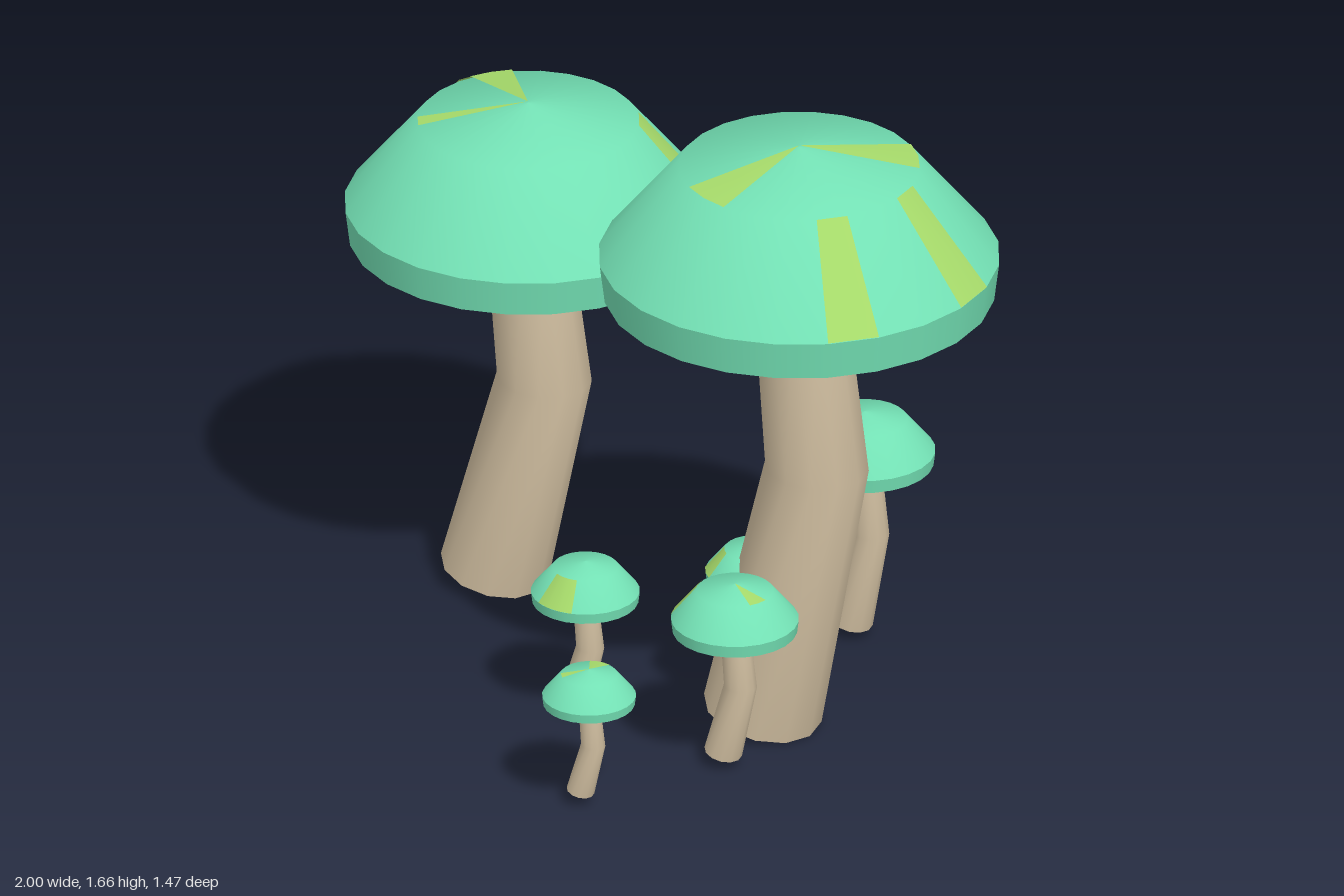
import * as THREE from 'three';
import { toCreasedNormals } from 'three/addons/utils/BufferGeometryUtils.js';

const material = (name, color, side = THREE.FrontSide) => {
  const m = new THREE.MeshStandardMaterial({ color, side });
  m.name = name;
  return m;
};

// x, z = cap centre, y = underside height, r = cap radius.
// Stripe angles are in degrees, from +x towards +z.
const MUSHROOMS = [
  { name: 'tallLeftMushroom', x: 0.49, y: 1.26, z: -0.035, r: 0.508, slope: [[-15, 0], [30, 45]], crown: [[-59, -33], [92, 119]] },
  { name: 'tallRightMushroom', x: -0.535, y: 1.015, z: -0.265, r: 0.465, slope: [[195, 210], [-45, -30]], crown: [[202, 225], [136, 146]] },
  { name: 'backMushroom', x: 0.305, y: 0.505, z: -0.56, r: 0.179, slope: [], crown: [] },
  { name: 'leftMushroom', x: 0.478, y: 0.4, z: 0.22, r: 0.162, slope: [[150, 180]], crown: [[0, 30]] },
  { name: 'innerMushroom', x: 0.35, y: 0.405, z: -0.03, r: 0.122, slope: [[120, 150]], crown: [] },
  { name: 'middleMushroom', x: 0, y: 0.335, z: 0.21, r: 0.138, slope: [[68, 112]], crown: [] },
  { name: 'frontMushroom', x: 0.31, y: 0.3, z: 0.61, r: 0.119, slope: [], crown: [[235, 280], [125, 145]] },
];

// Surface of revolution over an angular range, profile listed from low to high
function lathe(points, r, a0 = 0, a1 = 360) {
  const profile = points.map(([px, py]) => new THREE.Vector2(px * r, py * r));
  const segments = Math.max(1, Math.round((a1 - a0) / 15));
  return new THREE.LatheGeometry(profile, segments,
    THREE.MathUtils.degToRad(90 - a1), THREE.MathUtils.degToRad(a1 - a0));
}

// Bent stem: a cylinder whose three rings are moved, resized and tilted
function stemGeometry({ y, r }) {
  const rings = [
    { x: -0.225 * r, y: 0.045, radius: 0.3 * r, tilt: 0.24 },
    { x: 0.11 * r, y: 0.62 * y, radius: 0.26 * r, tilt: 0.06 },
    { x: 0, y: y + 0.02 * r, radius: 0.232 * r, tilt: 0 },
  ];
  const geo = new THREE.CylinderGeometry(1, 1, 2, 12, 2);
  const pos = geo.attributes.position;
  for (let i = 0; i < pos.count; i++) {
    const ring = rings[Math.round(pos.getY(i)) + 1];
    const px = pos.getX(i) * ring.radius;
    pos.setXYZ(i, ring.x + px * Math.cos(ring.tilt),
      ring.y - px * Math.sin(ring.tilt), pos.getZ(i) * ring.radius);
  }
  return toCreasedNormals(geo, 0.75);
}

export function createModel() {
  const capMat = material('capGreen', 0x73e0b4);
  const stripeMat = material('stripeLime', 0xa6da6a, THREE.DoubleSide);
  const stemMat = material('stemBeige', 0xd0bea0);
  const model = new THREE.Group();
  model.name = 'mushroomCluster';

  for (const m of MUSHROOMS) {
    const group = new THREE.Group();
    group.name = m.name;
    group.position.set(m.x, 0, m.z);
    const add = (name, geo, mat, y = 0) => {
      const mesh = new THREE.Mesh(geo, mat);
      mesh.name = name;
      mesh.position.y = y;
      group.add(mesh);
    };

    add('stem', stemGeometry(m), stemMat);

    // Cap: flat underside, upright rim and smooth dome
    add('capUnderside', lathe([[0, 0], [0.975, 0]], m.r), capMat, m.y);
    add('capRim', lathe([[0.975, 0], [1, 0.2]], m.r), capMat, m.y);
    add('capDome', lathe([[1, 0.2], [0.6, 0.69], [0, 0.8]], m.r), capMat, m.y);

    // Painted stripes, lying just above the dome
    for (const [a0, a1] of m.slope) {
      add('slopeStripe', lathe([[1.005, 0.206], [0.607, 0.695]], m.r, a0, a1), stripeMat, m.y);
    }
    for (const [a0, a1] of m.crown) {
      add('crownStripe', lathe([[0.6, 0.699], [0, 0.806]], m.r, a0, a1), stripeMat, m.y);
    }
    model.add(group);
  }
  return model;
}
